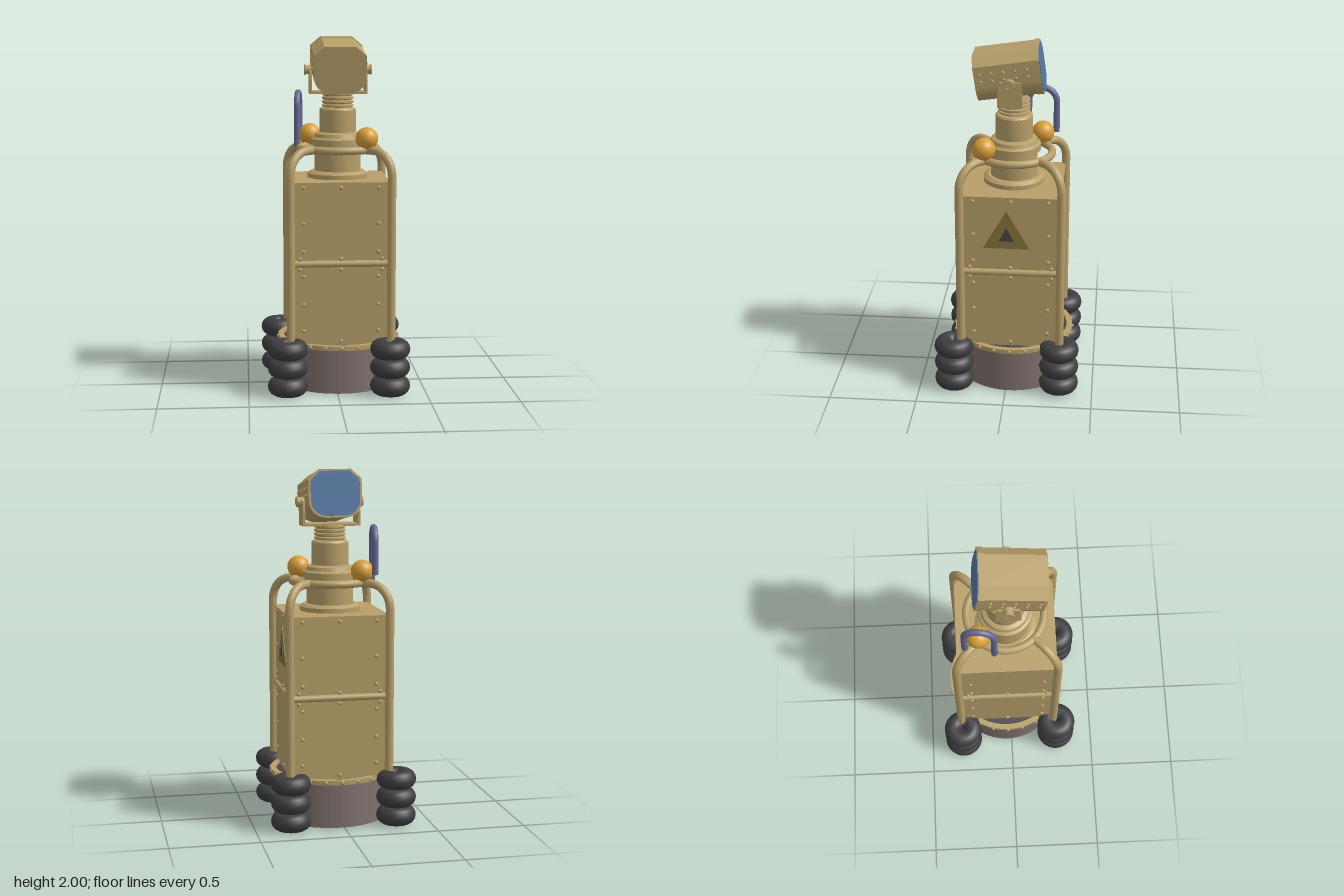
import * as THREE from 'three';
import { mergeGeometries, toCreasedNormals } from 'three/addons/utils/BufferGeometryUtils.js';

const mat = (name, color, side = THREE.FrontSide) => {
  const m = new THREE.MeshStandardMaterial({ color, side });
  m.name = name;
  return m;
};

export function createModel() {
  const tan = mat('tan paint', 0xb79f69);
  const rubber = mat('black rubber', 0x3e3e41);
  const skirtGrey = mat('warm grey skirt', 0x80726f, THREE.DoubleSide);
  const deckGrey = mat('dark grey deck', 0x45454a);
  const orange = mat('orange lamp', 0xd99f38);
  const pipeBlue = mat('slate blue pipe', 0x666b93);
  const lensBlue = mat('blue lens', 0x5279a5);
  const olive = mat('olive sign', 0x877439);

  const model = new THREE.Group();
  const core = new THREE.Group();
  core.name = 'core';
  core.position.set(0.021, 0, -0.025);
  model.add(core);

  const add = (parent, name, geo, material, x = 0, y = 0, z = 0) => {
    const m = new THREE.Mesh(geo, material);
    m.name = name;
    m.position.set(x, y, z);
    parent.add(m);
    return m;
  };
  const v = (x, y, z) => new THREE.Vector3(x, y, z);
  const dots = (points, r) => mergeGeometries(points.map(([x, y, z]) =>
    new THREE.SphereGeometry(r, 8, 6).translate(x, y, z)));
  const lathe = (pts, seg = 48) => toCreasedNormals(
    new THREE.LatheGeometry(pts.map(p => new THREE.Vector2(...p)), seg), 0.5);

  // Four stacks of three tyres
  const wheelSpots = [[0.3, -0.306], [-0.305, -0.302], [-0.28, 0.276], [0.294, 0.3]];
  for (const [x, z] of wheelSpots) {
    const stack = new THREE.Group();
    stack.name = 'wheelStack';
    stack.position.set(x, 0, z);
    for (let i = 0; i < 3; i++) {
      add(stack, 'tyre', new THREE.TorusGeometry(0.06, 0.053, 16, 32).rotateX(Math.PI / 2),
        rubber, 0, 0.055 + i * 0.105, 0);
    }
    model.add(stack);
  }

  // Open skirt, deck and riveted rim
  add(core, 'skirt', new THREE.CylinderGeometry(0.327, 0.327, 0.255, 64, 1, true), skirtGrey, 0, 0.137, 0);
  add(core, 'deck', new THREE.CylinderGeometry(0.32, 0.32, 0.012, 64), deckGrey, 0, 0.265, 0);
  add(core, 'skirtRim', lathe([[0.313, 0.26], [0.345, 0.26], [0.345, 0.285], [0.313, 0.285], [0.313, 0.26]], 64), tan);
  const rimDots = [];
  for (let i = 0; i < 24; i++) {
    const a = i / 24 * Math.PI * 2;
    rimDots.push([0.345 * Math.sin(a), 0.273, 0.345 * Math.cos(a)]);
  }
  add(core, 'rimRivets', dots(rimDots, 0.011), tan);

  // Body with a middle band, top edge and rivets on all four faces
  const H = 0.27;
  add(core, 'body', new THREE.BoxGeometry(2 * H, 0.925, 2 * H), tan, 0, 0.7375, 0);
  add(core, 'bodyTopEdge', new THREE.BoxGeometry(0.56, 0.012, 0.56), tan, 0, 1.194, 0);
  for (let k = 0; k < 4; k++) {
    const face = new THREE.Group();
    face.name = 'bodyFace';
    face.rotation.y = k * Math.PI / 2;
    core.add(face);
    add(face, 'band', new THREE.CylinderGeometry(0.019, 0.019, 0.54, 12).rotateZ(Math.PI / 2), tan, 0, 0.742, H);
    const pts = [];
    for (const y of [1.17, 0.97, 0.81, 0.67, 0.51, 0.36]) pts.push([-0.21, y, H], [0.21, y, H]);
    for (const y of [1.17, 0.77, 0.71, 0.3]) pts.push([0, y, H]);
    for (const y of [0.77, 0.71]) pts.push([-0.23, y, H], [0.23, y, H]);
    add(face, 'bodyRivets', dots(pts, 0.012), tan);
  }

  // Triangular warning plate on the +x face
  const triangle = (half, base, top, depth) => {
    const s = new THREE.Shape([[-half, base], [half, base], [0, top]].map(p => new THREE.Vector2(...p)));
    return new THREE.ExtrudeGeometry(s, { depth, bevelEnabled: false }).rotateY(Math.PI / 2);
  };
  add(core, 'warningPlate', triangle(0.13, 0.89, 1.115, 0.005), olive, H, 0, 0.022);
  add(core, 'warningMark', triangle(0.042, 0.935, 1.015, 0.008), deckGrey, H, 0, 0.022);

  // Corner rails bending inward to the guard ring
  const c = 0.282;
  for (const sx of [-1, 1]) for (const sz of [-1, 1]) {
    const p = (d, y) => v(sx * d, y, sz * d);
    const path = new THREE.CurvePath();
    path.add(new THREE.LineCurve3(p(c, 0.27), p(c, 1.23)));
    path.add(new THREE.CubicBezierCurve3(p(c, 1.23), p(c, 1.31), p(0.24, 1.367), p(0.188, 1.367)));
    path.add(new THREE.LineCurve3(p(0.188, 1.367), p(0.148, 1.367)));
    add(core, 'cornerRail', new THREE.TubeGeometry(path, 70, 0.024, 14), tan);
  }
  add(core, 'guardRing', new THREE.TorusGeometry(0.214, 0.022, 14, 56).rotateX(Math.PI / 2), tan, 0, 1.367, 0);

  // Turned column with a ribbed neck
  add(core, 'column', lathe([
    [0, 1.2], [0.172, 1.2], [0.172, 1.225], [0.15, 1.24], [0.132, 1.24], [0.132, 1.385],
    [0.15, 1.385], [0.15, 1.42], [0.135, 1.43], [0.128, 1.45], [0.105, 1.46], [0.105, 1.585],
    [0.098, 1.595], [0.08, 1.6], [0, 1.6]]), tan);
  const ribs = [[0.08, 1.59]];
  for (let i = 0; i < 4; i++) {
    const y = 1.6 + i * 0.022;
    ribs.push([0.08, y], [0.089, y + 0.004], [0.089, y + 0.014], [0.08, y + 0.018]);
  }
  add(core, 'ribbedNeck', lathe([...ribs, [0.08, 1.69], [0, 1.69]]), tan);

  // Lamps on the guard ring
  for (const [x, z] of [[-0.132, -0.178], [0.174, 0.13]]) {
    add(model, 'lamp', new THREE.SphereGeometry(0.064, 32, 20), orange, x, 1.432, z);
  }

  // Hooked pipe
  const a = v(-0.208, 1.37, -0.092), b = v(-0.188, 1.42, -0.252);
  const hook = new THREE.CurvePath();
  const a1 = v(a.x, 1.595, a.z), b1 = v(b.x, 1.595, b.z);
  const top = v((a.x + b.x) / 2, 1.675, (a.z + b.z) / 2);
  const k = 0.45;
  hook.add(new THREE.LineCurve3(a, a1));
  hook.add(new THREE.CubicBezierCurve3(a1, v(a.x, 1.639, a.z), v(top.x, top.y, top.z).lerp(v(a.x, top.y, a.z), 1 - k), top));
  hook.add(new THREE.CubicBezierCurve3(top, v(top.x, top.y, top.z).lerp(v(b.x, top.y, b.z), 1 - k), v(b.x, 1.639, b.z), b1));
  hook.add(new THREE.LineCurve3(b1, b));
  add(model, 'hookedPipe', new THREE.TubeGeometry(hook, 60, 0.018, 14), pipeBlue);
  for (const e of [a, b]) {
    add(model, 'pipeEnd', new THREE.CylinderGeometry(0.018, 0.018, 0.004, 14), pipeBlue, e.x, e.y, e.z);
  }

  // Yoke holding the head
  add(core, 'yokeBase', new THREE.BoxGeometry(0.326, 0.014, 0.135), tan, 0, 1.685, 0.012);
  const plate = new THREE.Shape();
  plate.moveTo(-0.068, 1.68);
  plate.lineTo(0.068, 1.68);
  plate.lineTo(0.068, 1.755);
  plate.lineTo(0.056, 1.82);
  plate.absarc(0, 1.805, 0.034, 0.4, Math.PI - 0.4, false);
  plate.lineTo(-0.056, 1.82);
  plate.lineTo(-0.068, 1.755);
  for (const s of [-1, 1]) {
    const geo = new THREE.ExtrudeGeometry(plate, { depth: 0.012, bevelEnabled: false }).rotateY(Math.PI / 2);
    add(core, 'yokePlate', geo, tan, s * 0.157 - 0.006, 0, 0.012);
    add(core, 'pivotBolt', new THREE.CylinderGeometry(0.026, 0.026, 0.045, 20).rotateZ(Math.PI / 2), tan, s * 0.167, 1.812, 0.012);
    add(core, 'pivotWasher', new THREE.TorusGeometry(0.024, 0.006, 8, 24).rotateY(Math.PI / 2), tan, s * 0.186, 1.812, 0.012);
  }

  // Tilted searchlight head: chamfered top, rounded bottom, lens facing back
  const head = new THREE.Group();
  head.name = 'head';
  head.position.set(0.021, 1.84, 0);
  head.rotation.x = 0.146;
  model.add(head);
  const section = (k) => {
    const s = new THREE.Shape();
    s.moveTo(-0.09 * k, 0.134 * k);
    s.lineTo(-0.15 * k, 0.082 * k);
    s.lineTo(-0.15 * k, -0.04 * k);
    s.bezierCurveTo(-0.148 * k, -0.1 * k, -0.1 * k, -0.134 * k, -0.055 * k, -0.134 * k);
    s.lineTo(0.055 * k, -0.134 * k);
    s.bezierCurveTo(0.1 * k, -0.134 * k, 0.148 * k, -0.1 * k, 0.15 * k, -0.04 * k);
    s.lineTo(0.15 * k, 0.082 * k);
    s.lineTo(0.09 * k, 0.134 * k);
    s.closePath();
    return s;
  };
  const slab = (k, depth) => toCreasedNormals(
    new THREE.ExtrudeGeometry(section(k), { depth, bevelEnabled: false, curveSegments: 8 }), 0.45);
  add(head, 'headShell', slab(0.975, 0.34), tan, 0, 0, -0.158);
  add(head, 'headRim', slab(1, 0.032), tan, 0, 0, -0.18);
  add(head, 'lens', slab(0.92, 0.006), lensBlue, 0, 0, -0.184);
  const headDots = [];
  for (const s of [-1, 1]) for (let i = 0; i < 5; i++) {
    const z = 0.15 - i * 0.065;
    headDots.push([s * 0.146, 0.035, z], [s * 0.146, -0.005, z]);
  }
  add(head, 'headRivets', dots(headDots, 0.009), tan);

  return model;
}
